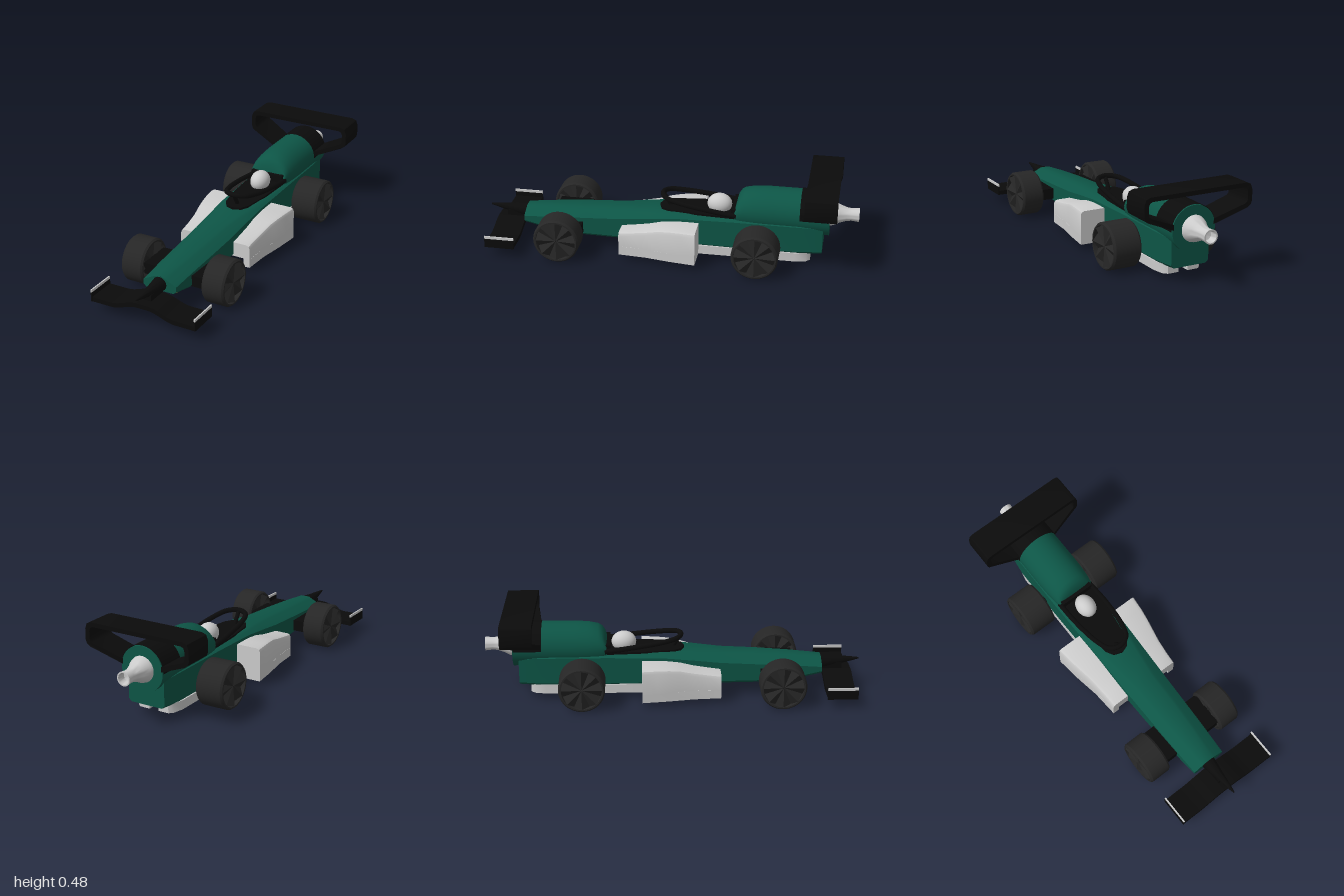
import * as THREE from 'three';
import { toCreasedNormals } from 'three/addons/utils/BufferGeometryUtils.js';

const mat = (color, extra = {}) => new THREE.MeshStandardMaterial({ color, ...extra });
const GREEN = mat(0x0d5546), BLACK = mat(0x0b0b0b), GREY = mat(0xcccccc);
const TYRE = mat(0x262626), RIM = mat(0x262626, { flatShading: true }), GOLD = mat(0xb08a40);

function add(parent, name, geometry, material, x = 0, y = 0, z = 0) {
  const mesh = new THREE.Mesh(geometry, material);
  mesh.name = name;
  mesh.position.set(x, y, z);
  parent.add(mesh);
  return mesh;
}

// Skin over rings of [x, y, z], counter-clockwise from the front, listed front to back
function loft(rings, crease = 0.6) {
  const n = rings[0].length, idx = [];
  rings.slice(1).forEach((_, i) => {
    for (let j = 0; j < n; j++) {
      const a = i * n + j, b = i * n + (j + 1) % n, c = a + n, d = b + n;
      idx.push(a, c, b, b, c, d);
    }
  });
  const last = (rings.length - 1) * n;
  for (let j = 1; j < n - 1; j++) idx.push(0, j, j + 1, last, last + j + 1, last + j);
  const g = new THREE.BufferGeometry();
  g.setAttribute('position', new THREE.Float32BufferAttribute(rings.flat(2), 3));
  g.setIndex(idx);
  return toCreasedNormals(g, crease);
}

// Half outline running bottom to top, completed on the other side
const mirrored = (half, z) => [
  ...half.map(([x, y]) => [x, y, z]),
  ...half.slice().reverse().map(([x, y]) => [-x, y, z]),
];

// Ellipse with separate upper and lower heights
function oval(z, rx, yc, up, down, n = 40) {
  return Array.from({ length: n }, (_, i) => {
    const a = i / n * Math.PI * 2, s = Math.sin(a);
    return [rx * Math.cos(a), yc + s * (s > 0 ? up : down), z];
  });
}

const shapeOf = pts => new THREE.Shape(pts.map(([x, y]) => new THREE.Vector2(x, y)));
const extrude = (pts, depth) => toCreasedNormals(
  new THREE.ExtrudeGeometry(shapeOf(pts), { depth, bevelEnabled: false }), 0.6);

// Horizontal plate from an [x, z] outline
function plate(pts, y0, y1) {
  const g = extrude(pts.map(([x, z]) => [x, -z]), y1 - y0);
  return g.rotateX(-Math.PI / 2).translate(0, y0, 0);
}

const tube = (pts, r) => new THREE.TubeGeometry(
  new THREE.CatmullRomCurve3(pts.map(p => new THREE.Vector3(...p))), 48, r, 10);

function wheel(name, x, y, z, width) {
  const g = new THREE.Group(), w = width / 2, R = 0.122;
  g.name = name;
  g.position.set(x, y, z);
  const profile = [[0, -w + 0.03], [0.106, -w + 0.03], [0.106, -w], [0.114, -w], [R, -w + 0.01],
    [R, w - 0.01], [0.114, w], [0.106, w], [0.106, w - 0.03], [0, w - 0.03]];
  const tyre = new THREE.LatheGeometry(profile.map(p => new THREE.Vector2(...p)), 40);
  add(g, 'tyre', toCreasedNormals(tyre, 0.6), TYRE).rotation.z = -Math.PI / 2;
  // Faceted star rims on both faces
  for (const s of [1, -1]) {
    const rim = new THREE.CircleGeometry(0.107, 16), p = rim.attributes.position;
    for (let i = 0; i < p.count; i++) p.setZ(i, i === 0 ? -0.008 : i % 2 ? 0 : -0.026);
    add(g, 'rim', rim, RIM, s * w).rotation.y = s * Math.PI / 2;
  }
  return g;
}

export function createModel() {
  const car = new THREE.Group();
  car.name = 'racingCar';

  // Lower body: z, half width, bottom, shoulder, half top width, top
  const body = [
    [0.79, 0.093, 0.115, 0.160, 0.040, 0.190], [0.62, 0.100, 0.080, 0.175, 0.050, 0.205],
    [0.45, 0.105, 0.072, 0.185, 0.058, 0.216], [0.25, 0.110, 0.072, 0.198, 0.062, 0.226],
    [0.10, 0.113, 0.072, 0.215, 0.080, 0.238], [-0.05, 0.116, 0.072, 0.230, 0.098, 0.245],
    [-0.36, 0.120, 0.072, 0.238, 0.102, 0.248], [-0.70, 0.119, 0.074, 0.238, 0.102, 0.248],
    [-0.82, 0.105, 0.078, 0.230, 0.085, 0.245],
  ].map(([z, w, b, s, tw, t]) =>
    mirrored([[w - 0.015, b], [w, b + 0.015], [w, s - 0.006], [w - 0.008, s], [tw, t - 0.008], [tw - 0.015, t]], z));
  add(car, 'body', loft(body), GREEN);

  // Engine cover and the dark collar carrying the rear wing
  const cover = [[-0.355, 0.104, 0.02], [-0.365, 0.108, 0.065], [-0.38, 0.111, 0.09], [-0.40, 0.114, 0.104],
    [-0.45, 0.118, 0.115], [-0.52, 0.120, 0.120], [-0.85, 0.120, 0.120]];
  add(car, 'engineCover', loft(cover.map(([z, r, up]) => oval(z, r, 0.272, up, 0.115))), GREEN);
  const collar = new THREE.CylinderGeometry(0.123, 0.123, 0.15, 40, 1, true, Math.PI / 2, Math.PI);
  collar.rotateZ(Math.PI / 2).rotateY(Math.PI / 2);
  collar.computeBoundingBox();
  if (collar.boundingBox.max.y < 0.05) collar.rotateZ(Math.PI);
  else if (collar.boundingBox.min.y < -0.05) collar.rotateZ(
    collar.boundingBox.max.x > 0.05 ? Math.PI / 2 : -Math.PI / 2);
  add(car, 'wingCollar', collar, mat(0x0b0b0b, { side: THREE.DoubleSide }), 0, 0.272, -0.772);

  // Exhaust nozzle, hollow at the end
  const nozzle = [[0.068, 0], [0.063, 0.02], [0.048, 0.05], [0.036, 0.085], [0.033, 0.11], [0.037, 0.15],
    [0.030, 0.15], [0.026, 0.11], [0, 0.10]].map(p => new THREE.Vector2(...p));
  add(car, 'exhaust', toCreasedNormals(new THREE.LatheGeometry(nozzle, 32), 0.7), GREY, 0, 0.275, -0.85)
    .rotation.x = -Math.PI / 2;

  // Nose cone and pylon
  const nose = [[1, 0.003, 0.166, 0.004], [0.95, 0.013, 0.162, 0.013], [0.88, 0.023, 0.156, 0.025],
    [0.78, 0.040, 0.151, 0.040]];
  add(car, 'noseCone', loft(nose.map(([z, r, y, h]) => oval(z, r, y, h, h, 24))), BLACK);
  add(car, 'nosePylon', new THREE.BoxGeometry(0.045, 0.05, 0.11), BLACK, 0, 0.125, 0.85);

  // Front wing, raised in the middle
  const topEdge = Array.from({ length: 33 }, (_, i) => {
    const x = -0.293 + i * 0.586 / 32;
    const t = THREE.MathUtils.smoothstep(Math.abs(x), 0.03, 0.18);
    return [x, 0.117 - 0.037 * t];
  });
  const frontWing = [...topEdge, ...topEdge.slice().reverse().map(([x, y]) => [x, y - 0.024])];
  add(car, 'frontWing', extrude(frontWing, 0.155), BLACK, 0, 0, 0.798);

  // Rear wing: one strip looping from collar to collar
  const outer = [[0.112, 0.28], [0.275, 0.352], [0.293, 0.365], [0.3, 0.385], [0.3, 0.44], [0.29, 0.468], [0.265, 0.477]];
  const inner = [[0.112, 0.308], [0.262, 0.373], [0.273, 0.383], [0.276, 0.395], [0.276, 0.432], [0.27, 0.448], [0.255, 0.454]];
  const flip = pts => pts.map(([x, y]) => [-x, y]);
  const loop = [...outer, ...flip(outer).reverse(), ...flip(inner), ...inner.slice().reverse()];
  const rearWing = new THREE.ExtrudeGeometry(shapeOf(loop), { depth: 1, bevelEnabled: false });
  const rp = rearWing.attributes.position;
  for (let i = 0; i < rp.count; i++) {
    const t = THREE.MathUtils.clamp((Math.abs(rp.getX(i)) - 0.11) / 0.15, 0, 1);
    rp.setZ(i, rp.getZ(i) > 0.5 ? -0.70 - 0.03 * t : -0.85 - 0.045 * t);
  }
  add(car, 'rearWing', toCreasedNormals(rearWing, 0.6), BLACK);

  // Cockpit opening, headrest, driver and head guard
  add(car, 'cockpit', plate([[-0.1, -0.37], [-0.09, -0.15], [-0.068, 0], [-0.045, 0.04], [0, 0.056],
    [0.045, 0.04], [0.068, 0], [0.09, -0.15], [0.1, -0.37]], 0.225, 0.253), BLACK);
  add(car, 'headrest', new THREE.BoxGeometry(0.19, 0.05, 0.035), BLACK, 0, 0.27, -0.355);
  add(car, 'helmet', new THREE.SphereGeometry(1, 32, 20), GREY, 0, 0.28, -0.265).scale.set(0.052, 0.056, 0.066);
  add(car, 'driverNeck', new THREE.CylinderGeometry(0.042, 0.046, 0.05, 24), GREY, 0, 0.255, -0.262);
  const arm = [[0.1, 0.26, -0.365], [0.1, 0.28, -0.22], [0.083, 0.302, -0.06], [0.055, 0.314, 0.015]];
  add(car, 'headGuard', tube([...arm, [0, 0.319, 0.04], ...arm.slice().reverse().map(([x, y, z]) => [-x, y, z])], 0.0135), BLACK);
  add(car, 'headGuardPillar', tube([[0, 0.318, 0.04], [0, 0.28, 0.015], [0, 0.235, -0.01]], 0.011), BLACK);

  // Towing rings under the body
  for (const [z, y] of [[0.65, 0.05], [-0.55, 0.05]])
    add(car, 'towRing', new THREE.TorusGeometry(0.019, 0.002, 8, 28), GOLD, 0, y, z);

  for (const s of [1, -1]) {
    const side = s > 0 ? 'left' : 'right';

    // Side pod: z, outer x, top
    const pod = [[0.245, 0.206, 0.158], [0.18, 0.209, 0.168], [0.1, 0.216, 0.182], [0.03, 0.227, 0.200],
      [-0.03, 0.238, 0.208], [-0.09, 0.247, 0.211], [-0.17, 0.255, 0.211]].map(([z, x, t]) => {
      const ring = [[0.09, 0.078], [x, 0.078], [x, t - 0.02], [x - 0.006, t - 0.006], [x - 0.02, t], [0.09, t]]
        .map(p => [s * p[0], p[1], z]);
      return s > 0 ? ring : ring.reverse();
    });
    add(car, side + 'SidePod', loft(pod), GREY);

    // Floor half, sweeping in to a central channel
    const inside = new THREE.CatmullRomCurve3([[0.17, 0, 0.245], [0.155, 0, 0.15], [0.1, 0, 0.02], [0.045, 0, -0.1],
      [0.026, 0, -0.22]].map(p => new THREE.Vector3(...p))).getPoints(16).map(p => [p.x, p.z]);
    const floor = [[0.206, 0.245], ...inside, [0.026, -0.76], [0.085, -0.76], [0.105, -0.74], [0.118, -0.68],
      [0.12, -0.17], [0.255, -0.17], [0.238, -0.03], [0.216, 0.1]];
    add(car, side + 'Floor', plate(floor.map(([x, z]) => [s * x, z]), 0.031, 0.08), GREY);

    // Wing end plate with a light top edge
    add(car, side + 'EndPlate', new THREE.BoxGeometry(0.007, 0.05, 0.16), BLACK, s * 0.2925, 0.081, 0.875);
    add(car, side + 'EndPlateTrim', new THREE.BoxGeometry(0.007, 0.014, 0.16), GREY, s * 0.2925, 0.113, 0.875);

    // Wheels and their mounts
    car.add(wheel(side + 'FrontWheel', s * 0.233, 0.122, 0.565, 0.124));
    car.add(wheel(side + 'RearWheel', s * 0.218, 0.122, -0.485, 0.154));
    add(car, side + 'FrontMount', new THREE.BoxGeometry(0.10, 0.06, 0.19), BLACK, s * 0.13, 0.125, 0.555);
    add(car, side + 'RearAxle', new THREE.CylinderGeometry(0.02, 0.02, 0.07, 16), BLACK, s * 0.125, 0.122, -0.485)
      .rotation.z = Math.PI / 2;
  }
  return car;
}
